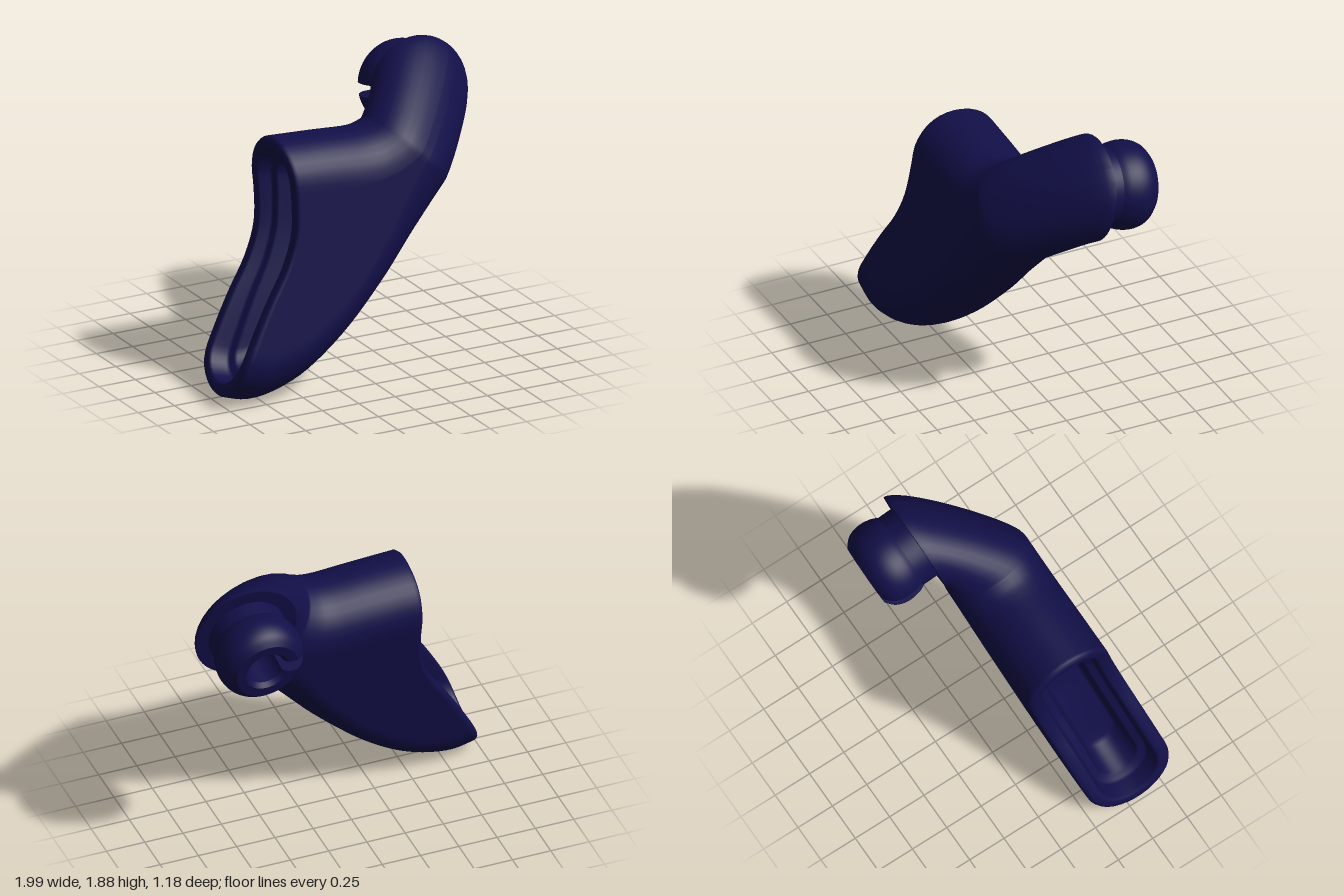
import * as THREE from 'three';
import { toCreasedNormals } from 'three/addons/utils/BufferGeometryUtils.js';

const V2 = (x, y) => new THREE.Vector2(x, y);
const V3 = (x, y, z) => new THREE.Vector3(x, y, z);
const R = 0.29; // half thickness of the sleeve

// Upper and lower edges of the sleeve, from the open mouth to the arm
const upper = new THREE.SplineCurve([[-0.51, 1.58], [-0.35, 1.572], [-0.18, 1.563], [-0.03, 1.553],
  [0.04, 1.551], [0.1, 1.556], [0.165, 1.575]].map(p => V2(...p)));
const lower = new THREE.SplineCurve([[-1, 0.045], [-0.8, 0.002], [-0.52, 0.075], [-0.22, 0.268],
  [0.1, 0.562], [0.35, 0.836], [0.6, 1.1]].map(p => V2(...p)));
// How far the mouth is scooped towards +x, from its bottom to its top
const scoop = new THREE.SplineCurve([0, -0.005, 0.032, 0.085, 0.15, 0.168, 0.125, 0.06, 0]
  .map((b, i) => V2(i / 8, b)));

// Stadium outline: k = place on the straight part, c = rise of the round cap, w = thickness
const outline = [];
const S = 20, CAP = 18;
for (const side of [1, -1]) {
  for (let i = 0; i < S; i++) outline.push({ k: side * (2 * i / S - 1), c: 0, w: side });
  for (let i = 0; i < CAP; i++) {
    const a = Math.PI * i / CAP;
    outline.push({ k: side, c: side * Math.sin(a), w: side * Math.cos(a) });
  }
}

// One cross-section of the sleeve at t (0 = mouth, 6 = arm), shrunk by inset
function section(t, inset) {
  const U = upper.getPoint(t / 6), L = lower.getPoint(t / 6);
  const half = U.distanceTo(L) / 2;
  const fade = Math.max(0, 1 - t / 3.5);
  return outline.map(({ k, c, w }) => {
    const s = k * Math.max(0, half - R) + c * (Math.min(R, half) - inset);
    const h = THREE.MathUtils.clamp((s / half + 1) / 2, 0, 1);
    const p = L.clone().lerp(U, h);
    return V3(p.x + fade * scoop.getPoint(h).y, p.y, w * (R - inset));
  });
}

// Elbow: the arm turns backwards along a nearly straight slope and ends in a round face
const C = V3(0.671, 1.624, -R), END = 0.33;
const along = V3(0.75, 0.66, 0), across = V3(-0.66, 0.75, 0);
function elbowRings(start, steps) {
  const end = outline.map(({ k, c, w }) => {
    const d = V2(k * 0.04 + c * R, w * R).normalize().multiplyScalar(END);
    return C.clone().addScaledVector(across, d.x).addScaledVector(along, d.y);
  });
  const paths = start.map((p, i) => {
    const len = p.distanceTo(end[i]);
    return new THREE.CubicBezierCurve3(p, p.clone().addScaledVector(along, 0.1 * len),
      end[i].clone().add(V3(0, 0, 0.13 * len)), end[i]);
  });
  return Array.from({ length: steps }, (_, j) => paths.map(c => c.getPoint((j + 1) / steps)));
}

function skin(rings) {
  const n = rings[0].length, idx = [];
  for (let r = 0; r < rings.length - 1; r++) {
    for (let i = 0; i < n; i++) {
      const j = (i + 1) % n, a = r * n + i, c = r * n + j;
      idx.push(a, a + n, c, a + n, c + n, c);
    }
  }
  const g = new THREE.BufferGeometry().setFromPoints(rings.flat());
  g.setIndex(idx);
  g.computeVertexNormals();
  return g;
}

// Lathe with a parallel-sided slot of half width g at phi = 0
function slottedLathe(profile, g) {
  const geo = new THREE.LatheGeometry(profile, 64);
  const pos = geo.attributes.position, rows = profile.length;
  for (let i = 0; i < pos.count; i++) {
    const r = profile[i % rows].x, a = Math.asin(g / r);
    const phi = a + Math.floor(i / rows) / 64 * (2 * Math.PI - 2 * a);
    pos.setXYZ(i, r * Math.sin(phi), profile[i % rows].y, r * Math.cos(phi));
  }
  return toCreasedNormals(geo, 0.6);
}

export function createModel() {
  const model = new THREE.Group();
  model.name = 'hookedSleeve';
  const color = 0x120f48;
  const solid = new THREE.MeshStandardMaterial({ color });
  const open = new THREE.MeshStandardMaterial({ color, side: THREE.DoubleSide });
  const add = (parent, name, geo, mat = solid) => {
    const m = new THREE.Mesh(geo, mat);
    m.name = name;
    parent.add(m);
    return m;
  };

  // Cavity floor, stepped cavity wall and rounded lip, then the outside
  const rings = [[1.6, R], [1.6, 0.19], [1.52, 0.17], [0.8, 0.155], [0.72, 0.145], [0.68, 0.11],
    [0.6, 0.1], [0.12, 0.09], [0.03, 0.075], [0, 0.055], [0.005, 0.03], [0.06, 0.01], [0.18, 0]]
    .map(([t, inset]) => section(t, inset));
  for (let t = 0.3; t < 6; t += 0.19) rings.push(section(t, 0));
  const last = section(6, 0);
  rings.push(last, ...elbowRings(last, 18));
  add(model, 'sleeveAndArm', skin(rings));

  // Flat round face at the end of the arm
  const face = add(model, 'armFace', new THREE.CircleGeometry(END, 72));
  face.rotation.y = Math.PI;
  face.position.copy(C);

  // Snap plug: neck, slotted bulb and the walls of the slot
  const plug = new THREE.Group();
  plug.name = 'snapPlug';
  plug.position.copy(C);
  plug.rotation.x = -Math.PI / 2;
  model.add(plug);
  const neck = add(plug, 'plugNeck', new THREE.CylinderGeometry(0.245, 0.245, 0.12, 64));
  neck.position.y = 0.05;
  const bulb = new THREE.Group();
  bulb.name = 'plugBulb';
  bulb.rotation.y = -Math.PI / 2;
  plug.add(bulb);
  const outer = new THREE.SplineCurve([[0.245, 0.1], [0.264, 0.14], [0.275, 0.205], [0.269, 0.265],
    [0.245, 0.318], [0.2, 0.358]].map(p => V2(...p))).getPoints(20);
  const profile = [...outer, V2(0.14, 0.358), V2(0.115, 0.33), V2(0.11, 0.105)];
  const g = 0.04;
  add(bulb, 'bulbShell', slottedLathe(profile, g), open);
  const wall = new THREE.ShapeGeometry(new THREE.Shape(
    profile.map(p => V2(Math.sqrt(p.x * p.x - g * g), p.y))));
  for (const side of [1, -1]) {
    const m = add(bulb, 'slotWall', wall, open);
    m.rotation.y = -Math.PI / 2;
    m.position.x = side * g;
  }

  // The whole piece leans back
  model.rotation.x = -0.166;
  model.position.set(0, 0, 0.35);
  const root = new THREE.Group();
  root.name = 'model';
  root.add(model);
  return root;
}
